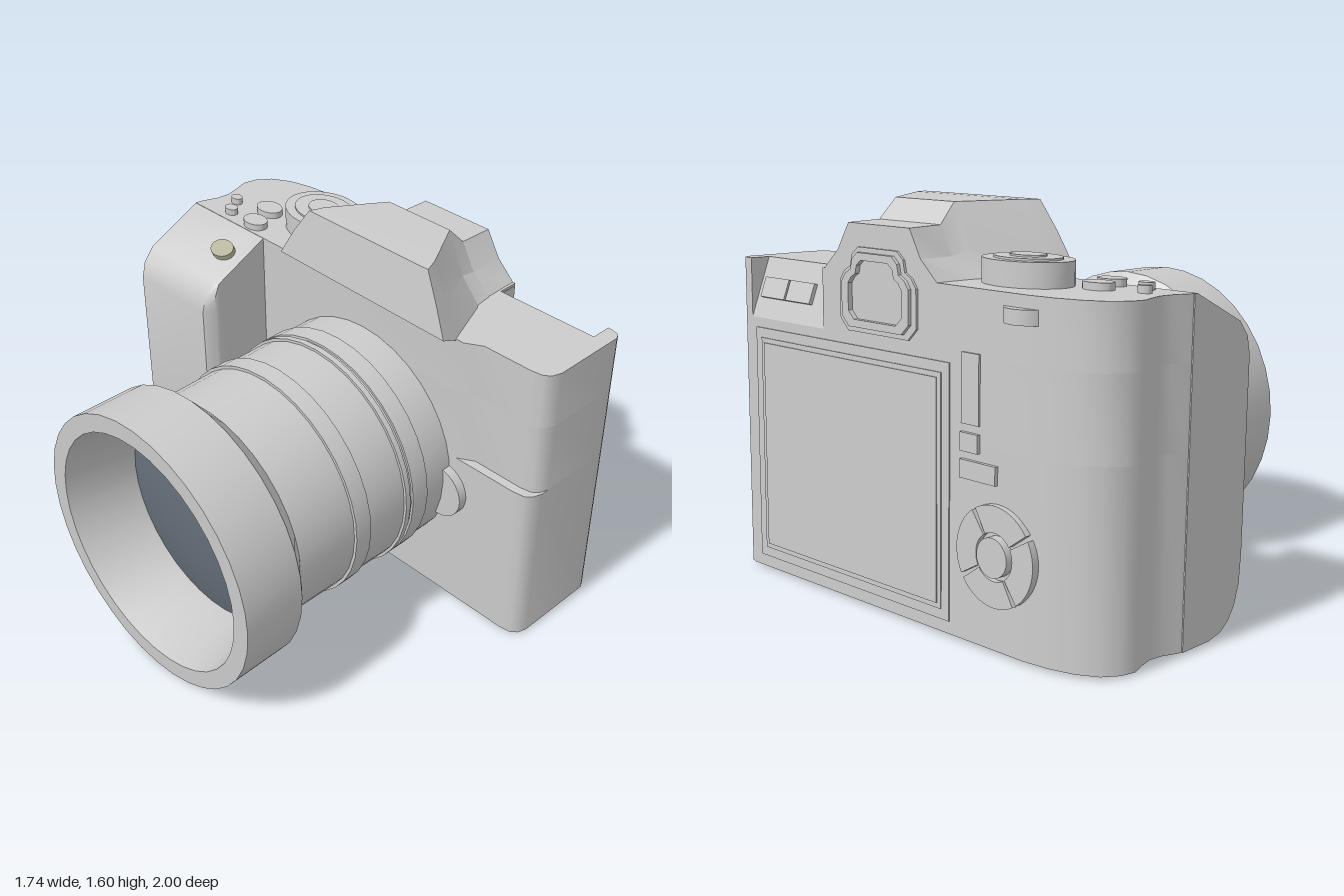
import * as THREE from 'three';
import { toCreasedNormals } from 'three/addons/utils/BufferGeometryUtils.js';

const grey = new THREE.MeshStandardMaterial({ color: 0xcccccc });
const glassMat = new THREE.MeshStandardMaterial({ color: 0x66707a });
const shutterMat = new THREE.MeshStandardMaterial({ color: 0xb8b49a });

const toShape = (pts) => new THREE.Shape(pts.map(([a, b]) => new THREE.Vector2(a, b)));
const extrude = (shape, depth) => new THREE.ExtrudeGeometry(shape, { depth, bevelEnabled: false, curveSegments: 12 });

export function createModel() {
  const camera = new THREE.Group();
  camera.name = 'camera';

  const add = (name, geo, x = 0, y = 0, z = 0, mat = grey) => {
    const mesh = new THREE.Mesh(geo, mat);
    mesh.name = name;
    mesh.position.set(x, y, z);
    camera.add(mesh);
    return mesh;
  };
  // plan outline in (x, z), raised from y0 to y1
  const addPlan = (name, pts, y0, y1) => {
    const geo = extrude(toShape(pts.map(([x, z]) => [x, -z])), y1 - y0);
    geo.rotateX(-Math.PI / 2);
    add(name, toCreasedNormals(geo, 0.6), 0, y0, 0);
  };
  // outline in (-z, y) standing off the back face towards +x
  const addBack = (name, shape, x0, x1, y = 0, z = 0) =>
    add(name, toCreasedNormals(extrude(shape, x1 - x0).rotateY(Math.PI / 2), 0.6), x0, y, z);
  const backPlate = (name, z0, z1, y0, y1, x1, x0 = 0.8) =>
    add(name, new THREE.BoxGeometry(x1 - x0, y1 - y0, z1 - z0), (x0 + x1) / 2, (y0 + y1) / 2, (z0 + z1) / 2);
  const disc = (name, x, y, z, rx, rz, h, mat = grey) =>
    add(name, toCreasedNormals(new THREE.CylinderGeometry(1, 1, h, 32).scale(rx, 1, rz), 0.6), x, y + h / 2, z, mat);

  // Body in three layers: lower front ledge, middle, and top with the button notch
  const rightEnd = [[0.34, -1], [0.38, -0.99], [0.44, -0.965], [0.5, -0.957], [0.56, -0.97], [0.62, -0.99],
    [0.68, -0.975], [0.74, -0.93], [0.785, -0.85], [0.812, -0.75], [0.825, -0.64]];
  const frontLeft = (fx) => [[fx + 0.07, 0.988], [fx + 0.03, 0.975], [fx + 0.008, 0.95], [fx, 0.9], [fx, 0.67],
    [0.345, 0.6], [0.34, -0.5]];
  const backLeft = [[0.825, 0.94], [0.815, 0.975], [0.79, 0.988]];
  const notch = [[0.825, 0.455], [0.735, 0.455], [0.735, 0.92], [0.825, 0.92]];
  addPlan('bodyLower', [...rightEnd, ...backLeft, ...frontLeft(0.345)], 0, 0.75);
  addPlan('bodyMiddle', [...rightEnd, ...backLeft, ...frontLeft(0.385)], 0.75, 1.07);
  addPlan('bodyTop', [...rightEnd, ...notch, ...backLeft, ...frontLeft(0.385)], 1.07, 1.312);

  // Sloped panel with two keys
  add('slopedPanel', extrude(toShape([[0.72, 1.07], [0.825, 1.07], [0.735, 1.312], [0.72, 1.312]]), 0.465), 0, 0, 0.455);
  for (const z of [0.64, 0.805]) {
    const key = add('panelKey', new THREE.BoxGeometry(0.03, 0.085, 0.155), 0.782, 1.19, z);
    key.rotation.z = 0.36;
  }

  // Hand grip: side profile with rounded foot and sloping top, inner corner bevelled
  const gripSide = [[0.36, 0], [0.2, 0], [0.13, 0.015], [0.08, 0.05], [0.045, 0.1], [0.02, 0.18], [0.012, 0.3],
    [0.012, 1.06], [0.03, 1.13], [0.08, 1.19], [0.34, 1.31], [0.36, 1.31]];
  add('grip', toCreasedNormals(extrude(toShape(gripSide.slice().reverse()), 0.42), 0.5), 0, 0, -1);
  const inner = extrude(toShape(gripSide.slice().reverse()), 0.035);
  const ip = inner.attributes.position;
  for (let i = 0; i < ip.count; i++) {
    if (ip.getZ(i) > 0.01) ip.setX(i, Math.max(ip.getX(i), 0.055));
  }
  add('gripInnerEdge', toCreasedNormals(inner, 0.8), 0, 0, -0.58);

  // Viewfinder hump: cross-sections of [z, y] lofted along x
  const sections = [
    { x: 0.26, lean: 0.14, p: [[0.57, 1.345], [0.51, 1.47], [0.445, 1.593], [-0.205, 1.593], [-0.28, 1.48], [-0.345, 1.36]] },
    { x: 0.36, p: [[0.56, 1.3], [0.49, 1.44], [0.42, 1.593], [-0.18, 1.593], [-0.27, 1.44], [-0.335, 1.3]] },
    { x: 0.59, p: [[0.47, 1.3], [0.37, 1.41], [0.29, 1.585], [-0.04, 1.585], [-0.12, 1.41], [-0.23, 1.3]] },
    { x: 0.67, p: [[0.46, 1.3], [0.36, 1.39], [0.295, 1.503], [-0.05, 1.503], [-0.11, 1.39], [-0.215, 1.3]] },
    { x: 0.825, p: [[0.455, 1.3], [0.36, 1.39], [0.295, 1.498], [-0.05, 1.498], [-0.11, 1.39], [-0.21, 1.3]] },
  ];
  const pos = [], idx = [], n = 6;
  for (const s of sections) {
    for (const [z, y] of s.p) pos.push(s.x + (s.lean || 0) * (y - 1.345), y, z);
  }
  for (let s = 0; s < sections.length - 1; s++) {
    for (let i = 0; i < n; i++) {
      const a = s * n + i, b = s * n + (i + 1) % n;
      idx.push(a, a + n, b, b, a + n, b + n);
    }
  }
  const last = (sections.length - 1) * n;
  for (const [a, b, c] of [[0, 1, 5], [1, 4, 5], [1, 2, 4], [2, 3, 4]]) {
    idx.push(a, b, c, last + a, last + c, last + b);
  }
  const hump = new THREE.BufferGeometry();
  hump.setAttribute('position', new THREE.Float32BufferAttribute(pos, 3));
  hump.setIndex(idx);
  add('viewfinderHump', toCreasedNormals(hump, 0.35)).material =
    new THREE.MeshStandardMaterial({ color: 0xcccccc, side: THREE.DoubleSide });

  // Eyepiece: nested frames around a recessed window
  const eyeOutline = (s) => [[-0.17, -0.165], [0.17, -0.165], [0.215, -0.12], [0.215, 0.03], [0.19, 0.065],
    [0.155, 0.085], [0.145, 0.13], [0.11, 0.16], [-0.11, 0.16], [-0.145, 0.13], [-0.155, 0.085],
    [-0.19, 0.065], [-0.215, 0.03], [-0.215, -0.12]].map(([a, b]) => [a * s, b * s]);
  const eyeFrame = (name, outer, innerS, x1) => {
    const shape = toShape(eyeOutline(outer));
    shape.holes.push(toShape(eyeOutline(innerS)));
    addBack(name, shape, 0.8, x1, 1.25, 0.12);
  };
  eyeFrame('eyepieceRim', 1, 0.88, 0.835);
  eyeFrame('eyepieceCup', 0.88, 0.7, 0.85);
  addBack('eyepieceWindow', toShape(eyeOutline(0.71)), 0.8, 0.83, 1.25, 0.12);

  // Screen with raised border
  backPlate('screenFrame', -0.265, 0.89, 0.05, 1.03, 0.83);
  backPlate('screenBorder', -0.225, 0.85, 0.09, 0.99, 0.834);
  backPlate('screen', -0.205, 0.83, 0.11, 0.97, 0.838);

  // Back buttons and four-way pad
  backPlate('tallButton', -0.42, -0.33, 0.82, 1.08, 0.833);
  backPlate('smallButton', -0.42, -0.33, 0.72, 0.79, 0.84);
  backPlate('smallButton', -0.51, -0.33, 0.62, 0.69, 0.84);
  for (let i = 0; i < 4; i++) {
    const a = 0.62 + i * Math.PI / 2, b = a + Math.PI / 2 - 0.1;
    const wedge = new THREE.Shape();
    wedge.absarc(0, 0, 0.19, a, b, false);
    wedge.absarc(0, 0, 0.09, b, a, true);
    addBack('padSegment', wedge, 0.81, 0.848, 0.362, -0.515);
  }
  const centre = new THREE.Shape();
  centre.absarc(0, 0, 0.075, 0, Math.PI * 2, false);
  addBack('padCentre', centre, 0.81, 0.86, 0.362, -0.515);
  disc('thumbWheel', 0.775, 1.21, -0.61, 0.092, 0.092, 0.055);

  // Top mode dial and buttons
  disc('modeDial', 0.585, 1.3, -0.42, 0.145, 0.19, 0.105);
  disc('dialRing', 0.585, 1.3, -0.42, 0.108, 0.142, 0.113);
  disc('dialCap', 0.585, 1.3, -0.42, 0.058, 0.075, 0.12);
  for (const [x, z, rx, rz] of [[0.395, -0.655, 0.045, 0.06], [0.515, -0.695, 0.048, 0.065],
    [0.395, -0.815, 0.025, 0.032], [0.475, -0.87, 0.022, 0.028]]) {
    disc('topButton', x, 1.3, z, rx, rz, 0.04);
  }
  const shutter = disc('shutterButton', 0.21, 1.235, -0.66, 0.045, 0.06, 0.04, shutterMat);
  shutter.rotation.z = 0.42;

  // Lens barrel with open hood, revolved about the x axis
  const lensY = 0.626, lensZ = 0.061;
  const revolve = (name, profile, mat) => {
    const geo = new THREE.LatheGeometry(profile.map(([x, r]) => new THREE.Vector2(r, -x)), 36);
    add(name, toCreasedNormals(geo.rotateZ(Math.PI / 2), 0.35), 0, lensY, lensZ, mat);
  };
  revolve('lensBarrel', [[0.36, 0.512], [0.2, 0.512], [0.2, 0.522], [0.115, 0.522], [0.115, 0.512], [0.1, 0.512],
    [0.1, 0.522], [0.075, 0.522], [0.075, 0.51], [-0.125, 0.508], [-0.125, 0.52], [-0.205, 0.52], [-0.205, 0.507],
    [-0.49, 0.503], [-0.575, 0.601], [-0.85, 0.603], [-0.85, 0.525], [-0.56, 0.46], [-0.53, 0.46]], grey);
  revolve('frontGlass', [[-0.54, 0.465], [-0.57, 0.35], [-0.59, 0.2], [-0.6, 0]], glassMat);

  // Lens release button beside the mount
  add('lensRelease', toCreasedNormals(new THREE.CylinderGeometry(0.122, 0.122, 0.06, 28).rotateZ(Math.PI / 2), 0.6),
    0.335, 0.57, 0.545);

  // The whole camera sits at a very slight tilt
  camera.rotation.set(0, -0.018, 0.022);
  const model = new THREE.Group();
  model.name = 'cameraModel';
  model.add(camera);
  return model;
}
